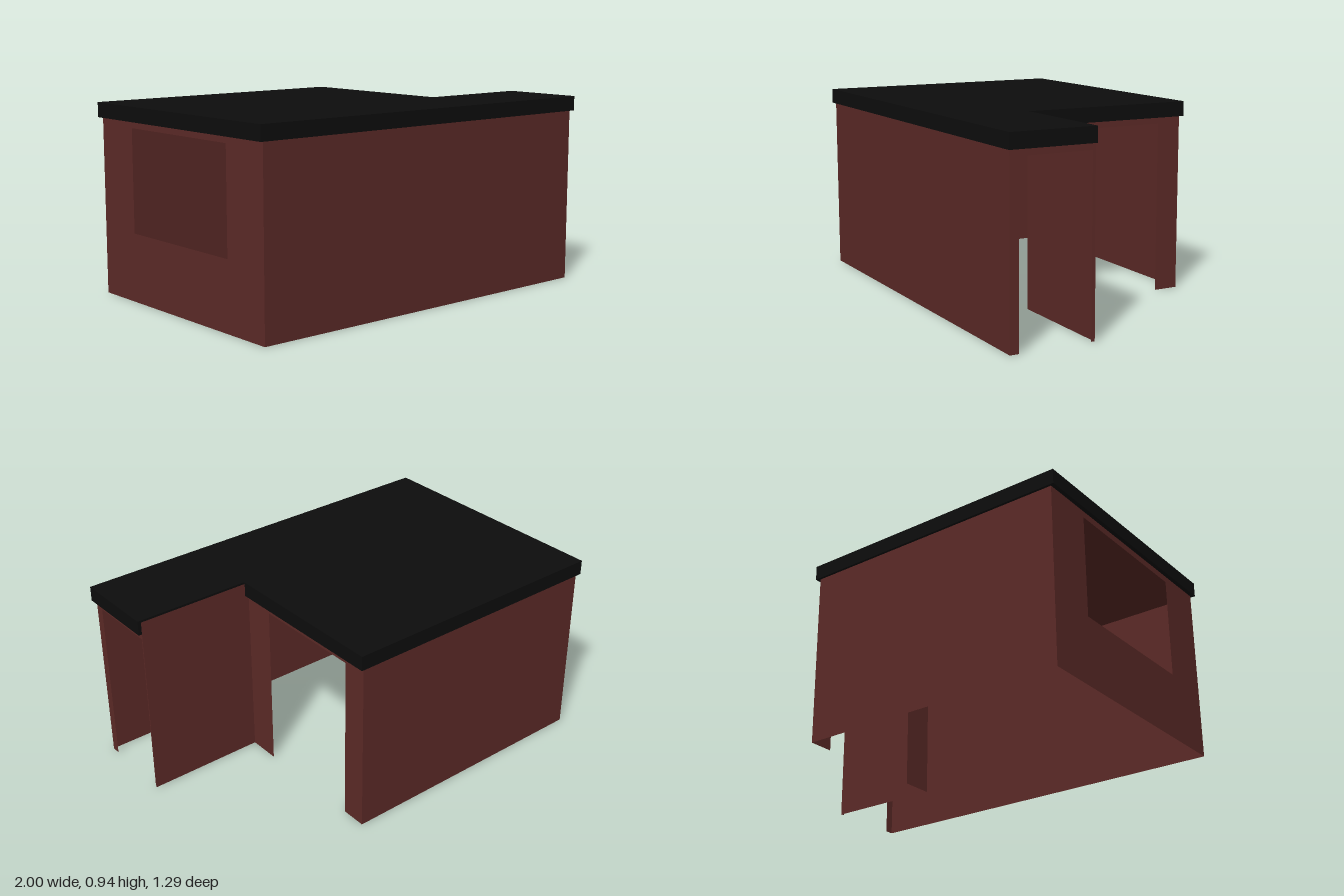
import * as THREE from 'three';

const brick = new THREE.MeshStandardMaterial({ color: 0x5c2a27, side: THREE.DoubleSide });
const black = new THREE.MeshStandardMaterial({ color: 0x0d0d0d });

const WALL_TOP = 0.87, ROOF_TOP = 0.943, HEAD = 0.838;

function polygon(points) {
  return new THREE.Shape(points.map(([x, y]) => new THREE.Vector2(x, y)));
}

function rectangle(a0, y0, a1, y1) {
  return [[a0, y0], [a1, y0], [a1, y1], [a0, y1]];
}

// L-shaped plan in (x, -z): main room plus the narrow hall along the front
function plan(x0, xRoom, xHall, zBack, zHall, zFront) {
  return polygon([[x0, -zFront], [xHall, -zFront], [xHall, -zHall],
    [xRoom, -zHall], [xRoom, -zBack], [x0, -zBack]]);
}

// Thin wall running along x at a given z
function wallAlongX(name, x0, x1, z, top = WALL_TOP) {
  const mesh = new THREE.Mesh(new THREE.ShapeGeometry(polygon(rectangle(x0, 0, x1, top))), brick);
  mesh.position.z = z;
  mesh.name = name;
  return mesh;
}

// Thin wall running along z at a given x; outline is in (-z, y)
function wallAlongZ(name, x, shape) {
  const mesh = new THREE.Mesh(new THREE.ShapeGeometry(shape), brick);
  mesh.rotation.y = Math.PI / 2;
  mesh.position.x = x;
  mesh.name = name;
  return mesh;
}

// Wall outline from z0 to z1 with a floor-level doorway from d0 to d1
function doorwayShape(z0, z1, d0, d1) {
  return polygon([[-z0, 0], [-d0, 0], [-d0, HEAD], [-d1, HEAD], [-d1, 0],
    [-z1, 0], [-z1, WALL_TOP], [-z0, WALL_TOP]]);
}

export function createModel() {
  const model = new THREE.Group();
  model.name = 'building';

  // Solid outer walls
  model.add(wallAlongX('frontWall', -0.98, 0.98, 0.635));
  model.add(wallAlongX('backWall', -0.98, 0.39, -0.635));
  model.add(wallAlongX('hallWall', 0.39, 0.985, 0.22, 0.935));

  // Side wall with a large window
  const windowWall = polygon(rectangle(-0.635, 0, 0.635, WALL_TOP));
  windowWall.holes.push(polygon(rectangle(-0.375, 0.335, 0.375, HEAD)));
  model.add(wallAlongZ('windowWall', -0.98, windowWall));

  // Walls with open doorways
  model.add(wallAlongZ('roomDoorWall', 0.39, doorwayShape(0.22, -0.635, 0.058, -0.51)));
  model.add(wallAlongZ('hallDoorWall', 0.98, doorwayShape(0.635, 0.22, 0.59, 0.235)));

  // Ceiling inside the walls
  const ceiling = new THREE.Mesh(
    new THREE.ShapeGeometry(plan(-0.98, 0.39, 0.98, -0.635, 0.224, 0.635)), brick);
  ceiling.rotation.x = -Math.PI / 2;
  ceiling.position.y = WALL_TOP - 0.003;
  ceiling.name = 'ceiling';
  model.add(ceiling);

  // Overhanging flat roof
  const roof = new THREE.Mesh(
    new THREE.ExtrudeGeometry(plan(-1, 0.41, 1, -0.647, 0.224, 0.647),
      { depth: ROOF_TOP - WALL_TOP, bevelEnabled: false }), black);
  roof.rotation.x = -Math.PI / 2;
  roof.position.y = WALL_TOP;
  roof.name = 'roof';
  model.add(roof);

  return model;
}
